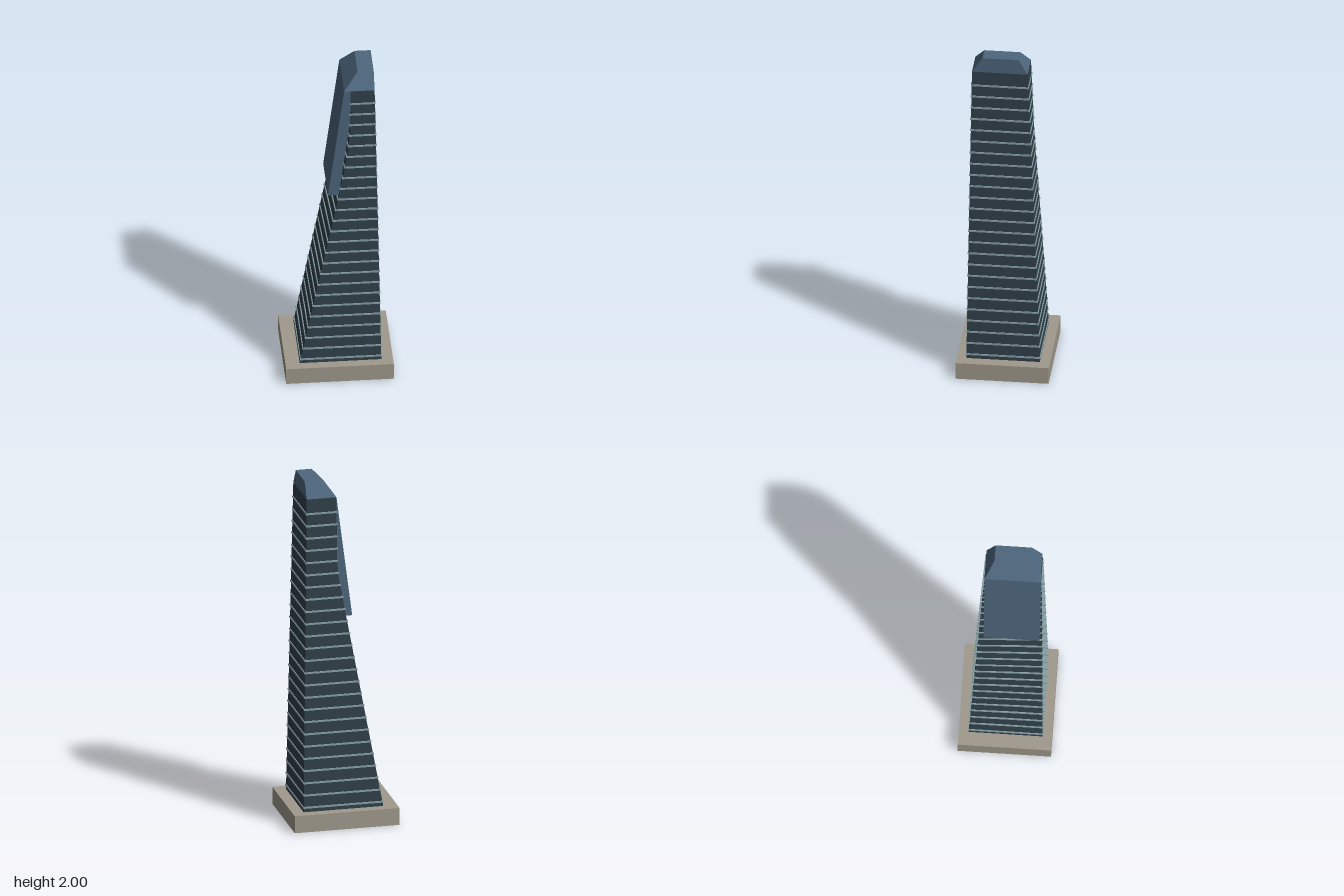
import * as THREE from 'three';

const colors = { stone: 0xa09a8c, facade: 0x30404a, ledge: 0x879fa4, glass: 0x4d667d };

// Piecewise linear lookup through [y, value] pairs
function along(pairs, y) {
  let i = 0;
  while (i < pairs.length - 2 && y > pairs[i + 1][0]) i++;
  const [[y0, a], [y1, b]] = [pairs[i], pairs[i + 1]];
  return a + (b - a) * (y - y0) / (y1 - y0);
}

// Closed solid through four-cornered rings, counter-clockwise seen from above
function loft(rings) {
  const pos = [];
  const quad = (a, b, c, d) => pos.push(...a, ...b, ...c, ...a, ...c, ...d);
  for (let r = 0; r < rings.length - 1; r++) {
    for (let i = 0; i < 4; i++) {
      const j = (i + 1) % 4;
      quad(rings[r][i], rings[r][j], rings[r + 1][j], rings[r + 1][i]);
    }
  }
  quad(...rings[rings.length - 1]);
  quad(...[...rings[0]].reverse());
  const g = new THREE.BufferGeometry();
  g.setAttribute('position', new THREE.Float32BufferAttribute(pos, 3));
  g.computeVertexNormals();
  return g;
}

// Rectangular ring
const rect = (y, x0, x1, z0, z1) => [[x1, y, z1], [x1, y, z0], [x0, y, z0], [x0, y, z1]];

// Tower edges by height: the left side leans in, its front and back corners differ
const leftFront = [[0, -0.235], [0.1, -0.22], [1.21, 0], [1.4, 0.034], [1.52, 0.052], [1.65, 0.062], [1.91, 0.067]];
const leftBack = [[0, -0.235], [0.1, -0.22], [1.21, -0.02], [1.45, 0.022], [1.55, 0.03], [1.91, 0.03]];
const right = [[0, 0.237], [1.91, 0.2]];
const front = [[0, 0.208], [1.91, 0.179]];
const back = [[0, -0.208], [1.91, -0.132]];

function towerRing(y, out = 0) {
  const xr = along(right, y) + out, zf = along(front, y) + out, zb = along(back, y) - out;
  return [[xr, y, zf], [xr, y, zb], [along(leftBack, y) - out, y, zb], [along(leftFront, y) - out, y, zf]];
}

export function createModel() {
  const model = new THREE.Group();
  const mats = {};
  for (const k in colors) mats[k] = new THREE.MeshStandardMaterial({ color: colors[k], flatShading: true });
  const add = (name, geometry, mat, parent = model) => {
    const m = new THREE.Mesh(geometry, mats[mat]);
    m.name = name;
    parent.add(m);
    return m;
  };

  // Base slab
  add('plinth', new THREE.BoxGeometry(0.6, 0.099, 0.52), 'stone').position.y = 0.0505;

  // Tapering shaft
  const levels = [0, 0.1, 0.5, 0.85, 1.21, 1.3, 1.4, 1.45, 1.52, 1.55, 1.65, 1.78, 1.91];
  add('towerShaft', loft(levels.map(y => towerRing(y))), 'facade');

  // Thin floor ledges wrapped around the shaft
  const ledges = new THREE.Group();
  ledges.name = 'floorLedges';
  model.add(ledges);
  for (let i = 0; i < 25; i++) {
    const y = 0.126 + i * 0.0708;
    add('floorLedge', loft([towerRing(y - 0.005, 0.004), towerRing(y + 0.005, 0.004)]), 'ledge', ledges);
  }

  // Sloping glass slab hanging from the crown on the leaning side
  add('glassSlab', loft([rect(1.21, -0.06, 0.0, -0.132, 0.179), rect(1.91, 0.03, 0.09, -0.132, 0.179)]), 'glass');

  // Chamfered crown, upright on the right side
  add('crown', loft([rect(1.91, 0.03, 0.2, -0.132, 0.179), rect(2, 0.11, 0.2, -0.082, 0.12)]), 'glass');

  return model;
}
